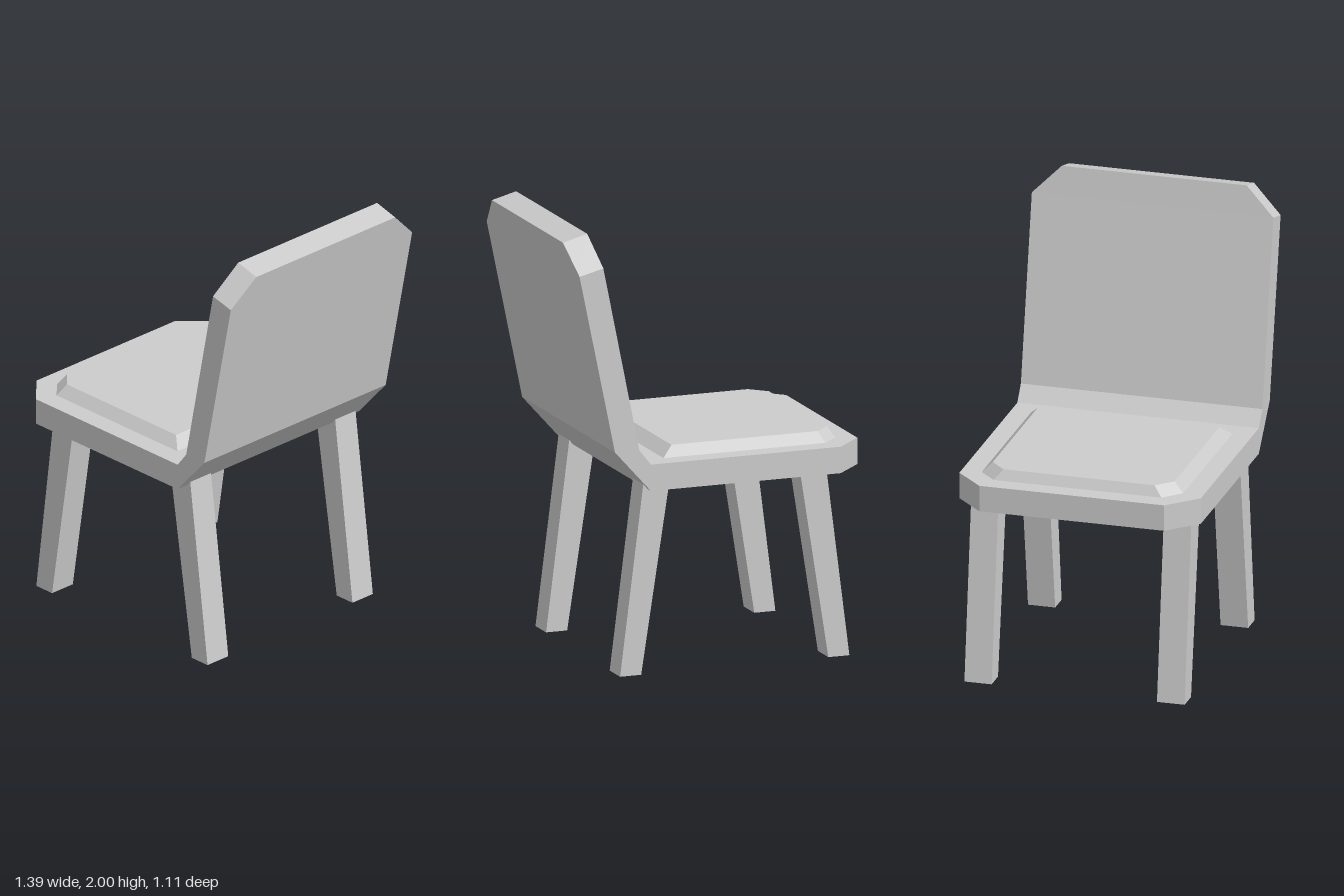
import * as THREE from 'three';

const material = new THREE.MeshStandardMaterial({ color: 0xcccccc, flatShading: true });

// Closed solid through convex rings, each ring counter-clockwise about the direction of travel
function loft(name, rings) {
  const n = rings[0].length, last = rings.length - 1, index = [];
  for (let r = 0; r < last; r++) {
    for (let i = 0; i < n; i++) {
      const a = r * n + i, b = r * n + (i + 1) % n;
      index.push(a, b, b + n, a, b + n, a + n);
    }
  }
  for (let i = 1; i < n - 1; i++) {
    index.push(0, i + 1, i);
    index.push(last * n, last * n + i, last * n + i + 1);
  }
  const indexed = new THREE.BufferGeometry();
  indexed.setAttribute('position', new THREE.Float32BufferAttribute(rings.flat(2), 3));
  indexed.setIndex(index);
  const geometry = indexed.toNonIndexed();
  geometry.computeVertexNormals();
  const mesh = new THREE.Mesh(geometry, material);
  mesh.name = name;
  return mesh;
}

// Rectangular ring in the horizontal plane
const rect = (x0, x1, y, z0, z1) => [[x1, y, z1], [x1, y, z0], [x0, y, z0], [x0, y, z1]];

export function createModel() {
  const chair = new THREE.Group();
  chair.name = 'chair';

  // Bent seat and backrest: inner x, y, outer x, y, half width
  const sections = [
    [-0.70, 0.96, -0.70, 0.84, 0.425],
    [-0.57, 0.96, -0.57, 0.84, 0.555],
    [0.33, 0.96, 0.33, 0.84, 0.555],
    [0.385, 1.03, 0.50, 1.03, 0.555],
    [0.555, 1.87, 0.668, 1.842, 0.555],
    [0.58, 2.0, 0.695, 1.97, 0.425],
  ];
  chair.add(loft('seatAndBackrest', sections.map(([xi, yi, xo, yo, w]) =>
    [[xi, yi, w], [xo, yo, w], [xo, yo, -w], [xi, yi, -w]])));

  // Bevelled cushion with cut front corners
  const cushionRing = (back, front, halfWidth, cutX, cutZ, y) => [
    [back, y, halfWidth], [back, y, -halfWidth], [cutX, y, -halfWidth],
    [front, y, -cutZ], [front, y, cutZ], [cutX, y, halfWidth],
  ];
  chair.add(loft('cushion', [
    cushionRing(0.24, -0.615, 0.468, -0.535, 0.39, 0.955),
    cushionRing(0.178, -0.587, 0.418, -0.515, 0.347, 1.005),
  ]));

  // Splayed legs, running a little into the seat
  for (const [side, z0, z1] of [['Left', -0.515, -0.39], ['Right', 0.37, 0.497]]) {
    chair.add(loft('frontLeg' + side, [
      rect(-0.627, -0.527, 0, z0, z1), rect(-0.515, -0.389, 0.88, z0, z1),
    ]));
    chair.add(loft('backLeg' + side, [
      rect(0.36, 0.46, 0, z0, z1), rect(0.224, 0.348, 0.88, z0, z1),
    ]));
  }
  return chair;
}
